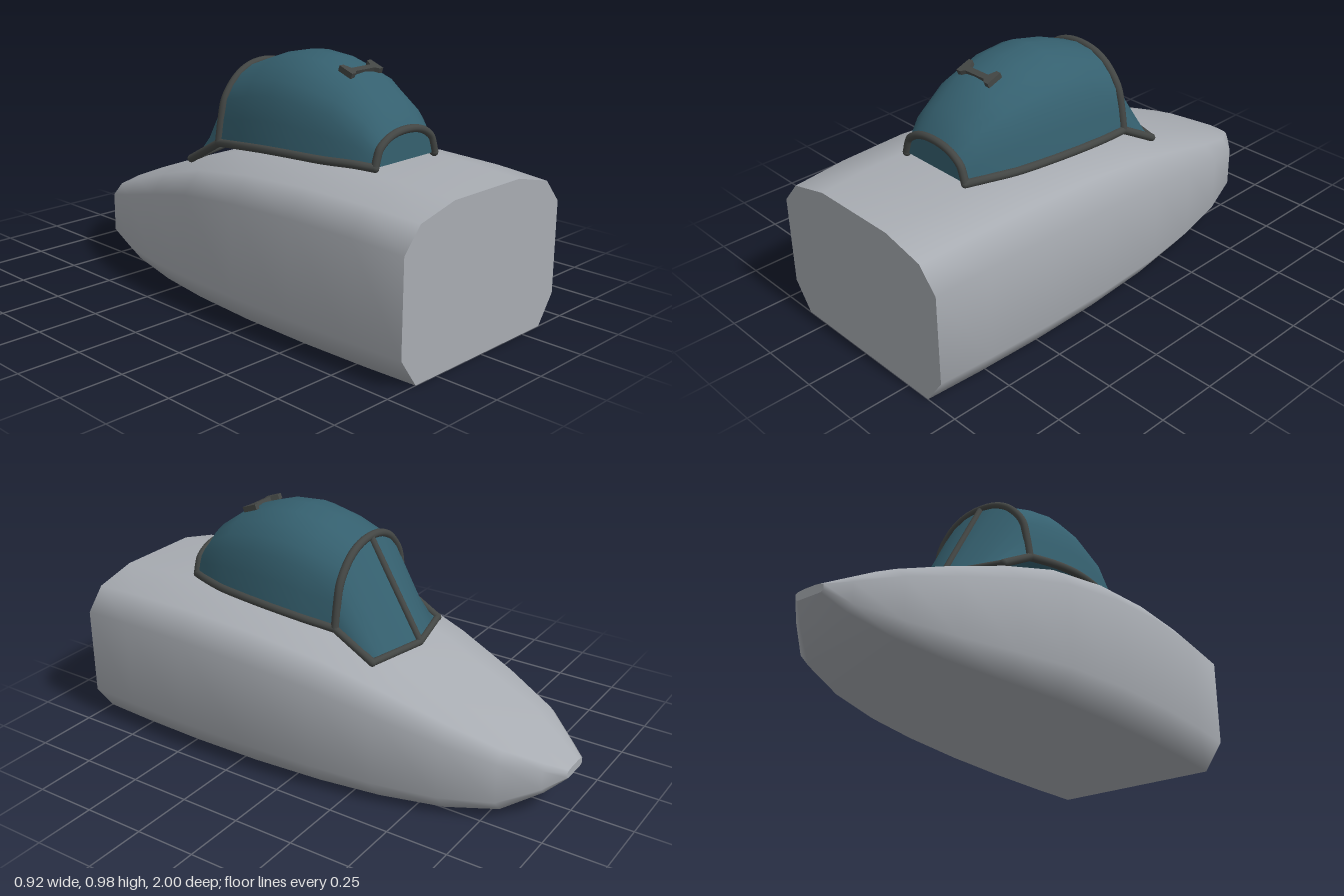
import * as THREE from 'three';
import { mergeGeometries } from 'three/addons/utils/BufferGeometryUtils.js';

const V = (x, y, z) => new THREE.Vector3(x, y, z);

// Skin a list of rings (running toward -z, each counter-clockwise seen from +z).
function loft(rings, closed) {
  const n = rings[0].length, idx = [];
  const m = closed ? n : n - 1;
  for (let i = 0; i < rings.length - 1; i++)
    for (let j = 0; j < m; j++) {
      const a = i * n + j, b = i * n + (j + 1) % n, c = a + n, d = b + n;
      idx.push(a, c, b, b, c, d);
    }
  const g = new THREE.BufferGeometry().setFromPoints(rings.flat());
  g.setIndex(idx);
  g.computeVertexNormals();
  return g;
}

// Flat fan closing a ring.
function cap(ring, back) {
  const idx = [];
  for (let j = 1; j < ring.length - 1; j++) idx.push(0, back ? j + 1 : j, back ? j : j + 1);
  const g = new THREE.BufferGeometry().setFromPoints(ring);
  g.setIndex(idx);
  g.computeVertexNormals();
  return g;
}

// Round frame bar through points, with rounded ends.
function bar(points, r) {
  const curve = new THREE.CatmullRomCurve3(points);
  const tube = new THREE.TubeGeometry(curve, points.length === 2 ? 1 : points.length * 4, r, 10);
  const ends = [points[0], points[points.length - 1]].map(p =>
    new THREE.SphereGeometry(r, 10, 8).translate(p.x, p.y, p.z));
  return mergeGeometries([tube, ...ends]);
}

export function createModel() {
  const hullGrey = new THREE.MeshStandardMaterial({ name: 'hullGrey', color: 0xa8acb2 });
  const glassBlue = new THREE.MeshStandardMaterial({ name: 'glassBlue', color: 0x35606f, side: THREE.DoubleSide });
  const frameDark = new THREE.MeshStandardMaterial({ name: 'frameDark', color: 0x434644 });
  const model = new THREE.Group();
  model.name = 'noseAndCockpit';
  const add = (name, geo, mat) => {
    const mesh = new THREE.Mesh(geo, mat);
    mesh.name = name;
    model.add(mesh);
    return mesh;
  };

  // Fuselage: chamfered sections [z, half width, bottom, top]
  const half = [[0.82, 0], [1, 0.185], [1, 0.78], [0.82, 0.93], [0.42, 1]];
  const outline = [...half, ...half.map(([x, y]) => [-x, y]).reverse()];
  const hullRings = [
    [1, 0.435, 0, 0.605], [0.78, 0.45, 0, 0.62], [0.5, 0.459, 0, 0.625], [0.2, 0.453, 0, 0.607],
    [-0.1, 0.426, 0, 0.56], [-0.35, 0.38, 0, 0.483], [-0.6, 0.315, 0.01, 0.39],
    [-0.8, 0.24, 0.04, 0.31], [-0.93, 0.13, 0.11, 0.242], [-1, 0.065, 0.17, 0.205],
  ].map(([z, w, b, t]) => outline.map(([x, y]) => V(x * w, b + y * (t - b), z)));
  add('fuselage', loft(hullRings, true), hullGrey);
  add('fuselageEnd', cap(hullRings[0], false), hullGrey);
  add('noseTip', cap(hullRings[hullRings.length - 1], true), hullGrey);

  // Canopy bubble: arched sections [z, half width, base, top]
  const arch = [[1, 0], [0.94, 0.3], [0.865, 0.56], [0.73, 0.73], [0.55, 0.87], [0.31, 0.965]];
  const archLine = [...arch, [0, 1], ...arch.map(([x, y]) => [-x, y]).reverse()];
  const canopyRings = [
    [0.635, 0.165, 0.637, 0.75], [0.57, 0.2, 0.645, 0.84], [0.45, 0.238, 0.645, 0.925],
    [0.3, 0.263, 0.645, 0.973], [0.17, 0.271, 0.64, 0.984], [0.04, 0.264, 0.628, 0.956],
    [-0.1, 0.242, 0.61, 0.905],
  ].map(([z, w, b, t]) => archLine.map(([x, y]) => V(x * w, b + y * (t - b), z)));
  add('canopyGlass', loft(canopyRings, false), glassBlue);
  add('canopyEndGlass', cap(canopyRings[0], false), glassBlue);

  // Canopy frame: two hoops and the side rails
  const mainHoop = canopyRings[canopyRings.length - 1];
  add('smallHoop', bar(canopyRings[0], 0.015), frameDark);
  add('mainHoop', bar(mainHoop, 0.016), frameDark);
  add('leftRail', bar(canopyRings.map(r => r[0]), 0.016), frameDark);
  add('rightRail', bar(canopyRings.map(r => r[r.length - 1]), 0.016), frameDark);

  // Windscreen: ruled from the main hoop down to a shallow V
  const tip = V(0, 0.52, -0.33), corner = s => V(s * 0.242, 0.515, -0.268);
  const mid = (archLine.length - 1) / 2;
  const foot = mainHoop.map((p, j) => {
    const t = Math.abs(j - mid) / mid;
    return tip.clone().lerp(corner(j < mid ? 1 : -1), t);
  });
  add('windscreenGlass', loft([mainHoop, foot], false), glassBlue);
  add('windscreenCentreBar', bar([mainHoop[mid], tip], 0.014), frameDark);
  for (const [side, s, base] of [['left', 1, mainHoop[0]], ['right', -1, mainHoop[mainHoop.length - 1]]]) {
    add(side + 'WindscreenSideBar', bar([base, corner(s)], 0.016), frameDark);
    add(side + 'WindscreenFootBar', bar([corner(s), tip], 0.014), frameDark);
  }

  // Grab handle: bow-shaped plate lying on the canopy
  const bow = new THREE.Shape([
    [-0.085, -0.033], [-0.065, -0.033], [-0.05, -0.02], [0.05, -0.02], [0.065, -0.033], [0.085, -0.033],
    [0.085, 0.033], [0.065, 0.033], [0.05, 0.004], [-0.05, 0.004], [-0.065, 0.033], [-0.085, 0.033],
  ].map(([x, y]) => new THREE.Vector2(x, y)));
  const handle = add('grabHandle', new THREE.ExtrudeGeometry(bow, { depth: 0.022, bevelEnabled: false }), frameDark);
  handle.position.set(0, 0.927, 0.41);
  handle.rotation.x = -Math.PI / 2 + 0.36;

  return model;
}
